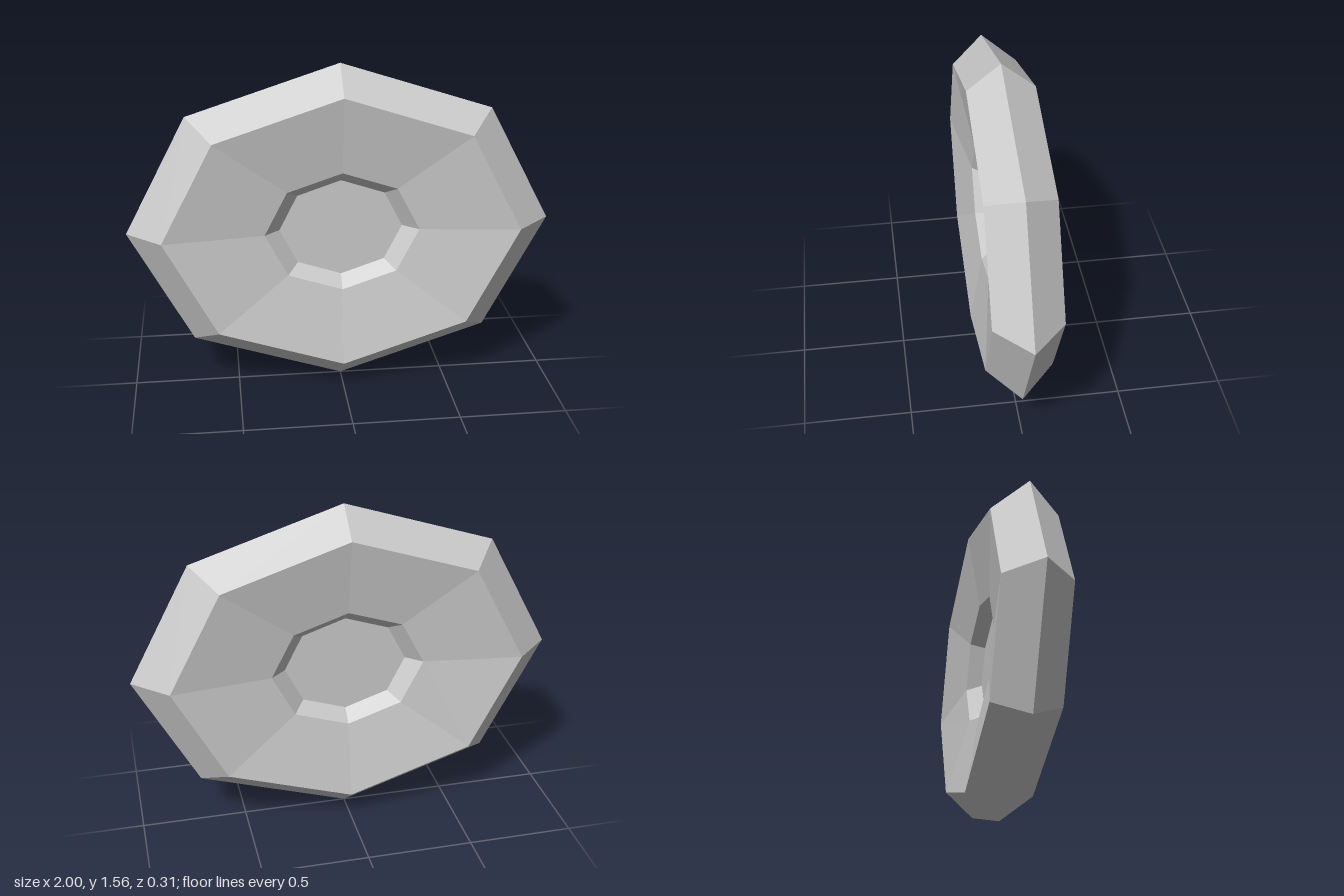
import * as THREE from 'three';

const SIDES = 8;
const CENTER_Y = 0.781;

// Elliptical cross-section rings: half width, half height, distance from the mid plane
const EQUATOR = [1, 0.781, 0];
const RIM = [0.835, 0.656, 0.155];
const DIMPLE_EDGE = [0.363, 0.29, 0.095];
const DIMPLE_FLOOR = [0.29, 0.235, 0.03];
const FLOOR_CENTER = [0, 0, 0.03];

// Faceted band between an outer and an inner ring, facing +z
function band(outer, inner) {
  const point = ([rx, ry, z], i) => {
    const a = (i / SIDES) * Math.PI * 2;
    return [rx * Math.cos(a), ry * Math.sin(a), z];
  };
  const positions = [];
  for (let i = 0; i < SIDES; i++) {
    const a = point(outer, i), b = point(outer, i + 1);
    const c = point(inner, i + 1), d = point(inner, i);
    positions.push(...a, ...b, ...c);
    if (inner[0] > 0) positions.push(...a, ...c, ...d);
  }
  const geometry = new THREE.BufferGeometry();
  geometry.setAttribute('position', new THREE.Float32BufferAttribute(positions, 3));
  geometry.computeVertexNormals();
  return geometry;
}

export function createModel() {
  const grey = new THREE.MeshStandardMaterial({ color: 0xcccccc, flatShading: true });
  grey.name = 'light grey';

  const model = new THREE.Group();
  model.name = 'dimpledDisc';

  const bands = [
    ['outerBevel', EQUATOR, RIM],
    ['dishedFace', RIM, DIMPLE_EDGE],
    ['dimpleWall', DIMPLE_EDGE, DIMPLE_FLOOR],
    ['dimpleFloor', DIMPLE_FLOOR, FLOOR_CENTER],
  ];

  // The back half is the front half turned about the vertical axis
  for (const [name, turn] of [['frontHalf', 0], ['backHalf', Math.PI]]) {
    const half = new THREE.Group();
    half.name = name;
    half.position.y = CENTER_Y;
    half.rotation.y = turn;
    for (const [part, outer, inner] of bands) {
      const mesh = new THREE.Mesh(band(outer, inner), grey);
      mesh.name = part;
      half.add(mesh);
    }
    model.add(half);
  }
  return model;
}
